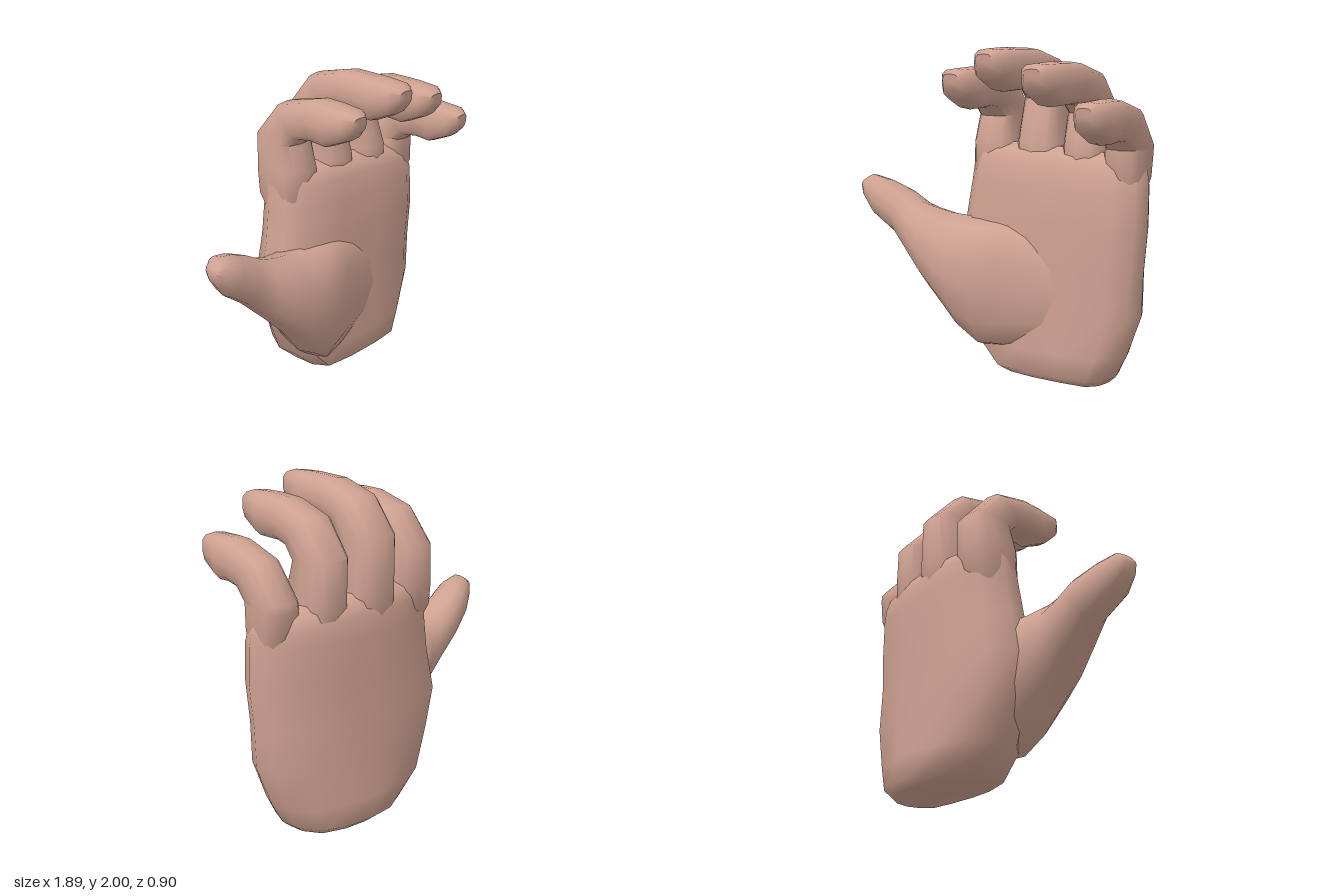
import * as THREE from 'three';
import { toCreasedNormals } from 'three/addons/utils/BufferGeometryUtils.js';

const skin = new THREE.MeshStandardMaterial({ color: 0xcfa292 });

// Skin a list of rings (equal point counts) and close both ends with fans.
function loft(name, rings) {
  const n = rings[0].length, pos = [], tris = [];
  rings.forEach(r => r.forEach(p => pos.push(p.x, p.y, p.z)));
  for (let i = 0; i < rings.length - 1; i++) {
    for (let j = 0; j < n; j++) {
      const a = i * n + j, b = i * n + (j + 1) % n;
      tris.push([a, b, b + n], [a, b + n, a + n]);
    }
  }
  for (const i of [0, rings.length - 1]) {
    const c = new THREE.Vector3();
    rings[i].forEach(p => c.addScaledVector(p, 1 / n));
    const k = pos.length / 3;
    pos.push(c.x, c.y, c.z);
    for (let j = 0; j < n; j++) {
      const a = i * n + j, b = i * n + (j + 1) % n;
      tris.push(i ? [a, b, k] : [b, a, k]);
    }
  }
  // Turn faces outward by the sign of the enclosed volume.
  const v = k => new THREE.Vector3().fromArray(pos, k * 3);
  let volume = 0;
  tris.forEach(([a, b, c]) => { volume += v(a).dot(v(b).cross(v(c))); });
  if (volume < 0) tris.forEach(t => t.reverse());
  const geo = new THREE.BufferGeometry();
  geo.setAttribute('position', new THREE.Float32BufferAttribute(pos, 3));
  geo.setIndex(tris.flat());
  const mesh = new THREE.Mesh(toCreasedNormals(geo, 0.95), skin);
  mesh.name = name;
  return mesh;
}

// Rounded ring between edge points A and B, spread along an axis; a lower power is squarer.
function ring(A, B, side, power) {
  const mid = A.clone().add(B).multiplyScalar(0.5);
  const half = A.clone().sub(B).multiplyScalar(0.5);
  const soft = t => Math.sign(t) * Math.pow(Math.abs(t), power);
  return Array.from({ length: 12 }, (_, j) => {
    const a = (j / 12) * Math.PI * 2;
    return mid.clone().addScaledVector(half, soft(Math.cos(a))).addScaledVector(side, soft(Math.sin(a)));
  });
}

// Finger: rises out of the palm, bends at the knuckle and points forward.
function finger(name, { xBase, xTip, wBase, wTip, top, back, tip }) {
  // outer y, outer z, inner y, inner z, share of the way to the tip, width factor
  const sections = [
    [1.1, back + 0.1, 1.1, -0.12, 0, 0.7],
    [1.26, back + 0.015, 1.26, -0.035, 0, 0.97],
    [1.4, back, 1.44, -0.04, 0.1, 1],
    [top - 0.27, back, top - 0.3, back + 0.3, 0.35, 1],
    [top - 0.06, back + 0.18, top - 0.25, back + 0.36, 0.6, 1],
    [top, back + 0.43, top - 0.24, back + 0.45, 0.85, 1],
    [top, tip - 0.2, top - 0.25, tip - 0.2, 1, 1],
    [top - 0.01, tip - 0.05, top - 0.19, tip - 0.07, 1, 0.85],
    [top - 0.04, tip, top - 0.13, tip - 0.01, 1, 0.45],
  ];
  return loft(name, sections.map(([ya, za, yb, zb, t, f]) => {
    const x = THREE.MathUtils.lerp(xBase, xTip, t);
    const w = THREE.MathUtils.lerp(wBase, wTip, t) * f;
    return ring(new THREE.Vector3(x, ya, za), new THREE.Vector3(x, yb, zb), new THREE.Vector3(w, 0, 0), 0.65);
  }));
}

function palm() {
  // Outline across (0 thumb side, 1 outer side) and in depth (0 back, 1 palm face)
  const outline = [
    [0, 0.5], [0.02, 0.78], [0.1, 0.96], [0.35, 1], [0.65, 0.99], [0.88, 0.95], [0.97, 0.8],
    [1, 0.58], [0.965, 0.36], [0.85, 0.13], [0.64, 0.02], [0.45, 0], [0.25, 0.04], [0.07, 0.21],
  ];
  // height, x range, z range
  const levels = [
    [0.005, 0.04, 0.71, -0.4, 0],
    [0.05, -0.04, 0.76, -0.45, 0.05],
    [0.19, -0.19, 0.83, -0.45, 0.05],
    [0.45, -0.28, 0.92, -0.44, 0.045],
    [0.7, -0.34, 0.925, -0.435, 0.04],
    [0.97, -0.28, 0.945, -0.43, 0.035],
    [1.2, -0.245, 0.94, -0.43, 0.015],
    [1.33, -0.235, 0.93, -0.42, -0.01],
    [1.4, -0.22, 0.91, -0.395, -0.04],
    [1.44, -0.15, 0.86, -0.33, -0.12],
  ];
  return loft('palm', levels.map(([y, x0, x1, z0, z1]) => outline.map(([u, v]) => {
    // the top edge slopes down toward the little finger
    const drop = y > 1.25 ? 0.06 * u * u : 0;
    return new THREE.Vector3(x0 + (x1 - x0) * u, y - drop, z0 + (z1 - z0) * v);
  })));
}

// Thumb: its broad base slopes gently down into the palm face.
function thumb() {
  // upper x, y; lower x, y; z range
  const sections = [
    [0.56, 0.74, 0.52, 0.3, -0.2, 0.01],
    [0.36, 0.88, 0.32, 0.2, -0.2, 0.07],
    [0.12, 0.97, 0.08, 0.15, -0.23, 0.155],
    [-0.04, 0.97, -0.06, 0.15, -0.26, 0.22],
    [-0.2, 0.97, -0.2, 0.26, -0.27, 0.26],
    [-0.32, 0.985, -0.29, 0.38, -0.21, 0.265],
    [-0.45, 1.02, -0.4, 0.51, -0.14, 0.26],
    [-0.53, 1.04, -0.54, 0.66, -0.12, 0.23],
    [-0.64, 1.1, -0.7, 0.82, -0.1, 0.19],
    [-0.77, 1.165, -0.85, 0.94, -0.04, 0.215],
    [-0.88, 1.195, -0.92, 1.04, 0.02, 0.19],
    [-0.92, 1.17, -0.95, 1.11, 0.06, 0.16],
  ];
  return loft('thumb', sections.map(([xa, ya, xb, yb, z0, z1]) => {
    const z = (z0 + z1) / 2;
    const side = new THREE.Vector3(0, 0, (z1 - z0) / 2);
    return ring(new THREE.Vector3(xa, ya, z), new THREE.Vector3(xb, yb, z), side, 0.9);
  }));
}

export function createModel() {
  const hand = new THREE.Group();
  hand.name = 'hand';
  hand.add(
    palm(),
    thumb(),
    finger('indexFinger', { xBase: -0.085, xTip: -0.065, wBase: 0.15, wTip: 0.12, top: 1.89, back: -0.39, tip: 0.37 }),
    finger('middleFinger', { xBase: 0.23, xTip: 0.22, wBase: 0.15, wTip: 0.12, top: 2.0, back: -0.43, tip: 0.45 }),
    finger('ringFinger', { xBase: 0.535, xTip: 0.515, wBase: 0.13, wTip: 0.12, top: 1.92, back: -0.41, tip: 0.43 }),
    finger('littleFinger', { xBase: 0.8, xTip: 0.815, wBase: 0.12, wTip: 0.108, top: 1.72, back: -0.345, tip: 0.4 }),
  );
  return hand;
}
